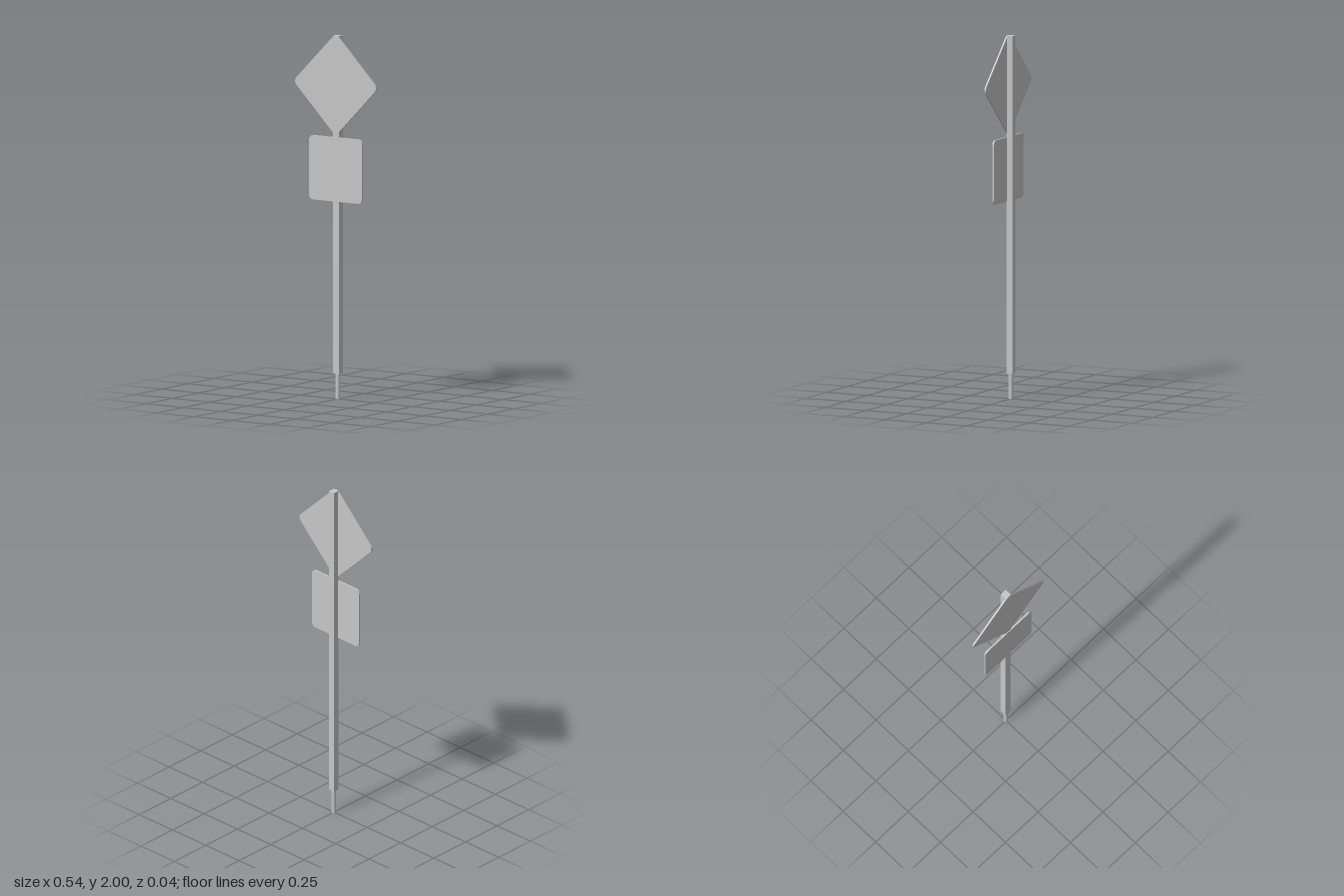
import * as THREE from 'three';

const steel = new THREE.MeshStandardMaterial({ color: 0xc6c6c6 });
steel.name = 'grey steel';

// Square plate with rounded corners, centred on its own origin
function plate(name, side, radius, y, turn = 0) {
  const h = side / 2, c = h - radius;
  const shape = new THREE.Shape();
  shape.moveTo(-c, -h);
  [[c, -c, -90], [c, c, 0], [-c, c, 90], [-c, -c, 180]].forEach(([x, yy, deg]) => {
    const a = THREE.MathUtils.degToRad(deg);
    shape.absarc(x, yy, radius, a, a + Math.PI / 2, false);
  });
  const depth = 0.0095;
  const geo = new THREE.ExtrudeGeometry(shape, { depth, bevelEnabled: false, curveSegments: 6 });
  const mesh = new THREE.Mesh(geo, steel);
  mesh.name = name;
  mesh.position.set(0, y, 0.021 - depth);
  mesh.rotation.z = turn;
  return mesh;
}

// Upright part of the pole, standing on height y0
function upright(name, geometry, y0) {
  const mesh = new THREE.Mesh(geometry, steel);
  mesh.name = name;
  mesh.position.set(0, y0 + geometry.parameters.height / 2, -0.002);
  return mesh;
}

export function createModel() {
  const group = new THREE.Group();
  group.name = 'signPost';
  group.add(
    upright('groundStake', new THREE.CylinderGeometry(0.0125, 0.0125, 0.15, 12), 0),
    upright('post', new THREE.BoxGeometry(0.038, 1.858, 0.038), 0.142),
    plate('diamondSign', 0.398, 0.03, 1.731, Math.PI / 4),
    plate('squareSign', 0.354, 0.028, 1.265),
  );
  return group;
}
